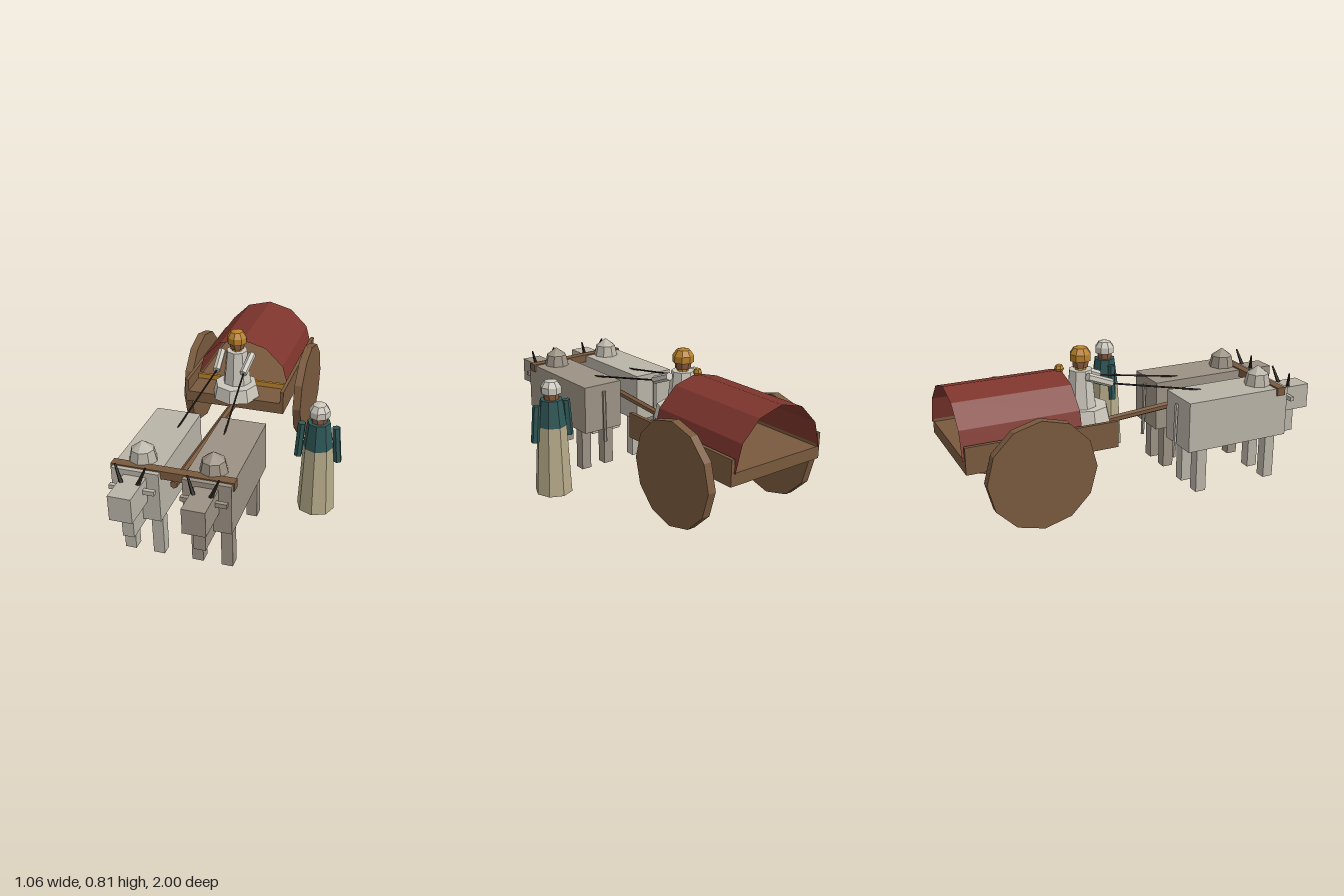
import * as THREE from 'three';

const mat = (color, side = THREE.FrontSide) =>
  new THREE.MeshStandardMaterial({ color, flatShading: true, side });

const wood = mat(0x7a5a3e), red = mat(0x7e352d, THREE.DoubleSide), gold = mat(0xb9812a);
const skin = mat(0x8a5c40), white = mat(0xcbc7bc), teal = mat(0x2f5757), linen = mat(0xb5a988);
const dark = mat(0x2b2320);

function add(parent, name, geometry, material, x = 0, y = 0, z = 0) {
  const m = new THREE.Mesh(geometry, material);
  m.name = name;
  m.position.set(x, y, z);
  parent.add(m);
  return m;
}

// Box given by its low and high corners
function box(parent, name, material, [x0, y0, z0], [x1, y1, z1]) {
  return add(parent, name, new THREE.BoxGeometry(x1 - x0, y1 - y0, z1 - z0), material,
    (x0 + x1) / 2, (y0 + y1) / 2, (z0 + z1) / 2);
}

// Rod running between two points
function rod(parent, name, material, from, to, r0, r1 = r0, sides = 6) {
  const a = new THREE.Vector3(...from), b = new THREE.Vector3(...to);
  const d = b.clone().sub(a);
  const m = add(parent, name, new THREE.CylinderGeometry(r1, r0, d.length(), sides), material);
  m.position.copy(a).add(b).multiplyScalar(0.5);
  m.quaternion.setFromUnitVectors(new THREE.Vector3(0, 1, 0), d.normalize());
  return m;
}

// Upright tapered eight-sided section
function taper(parent, name, material, y0, r0, y1, r1, z = 0) {
  return add(parent, name, new THREE.CylinderGeometry(r1, r0, y1 - y0, 8), material, 0, (y0 + y1) / 2, z);
}

// Face and rounded hair, sitting on height y
function head(parent, y, hairMaterial) {
  taper(parent, 'face', skin, y - 0.035, 0.041, y + 0.005, 0.046);
  const profile = [[0, 0], [0.057, 0], [0.057, 0.036], [0.036, 0.066], [0, 0.075]]
    .map(([r, h]) => new THREE.Vector2(r, h));
  add(parent, 'hair', new THREE.LatheGeometry(profile, 8), hairMaterial, 0, y, 0);
}

function makeOx(x, color) {
  const ox = new THREE.Group(), hide = mat(color);
  ox.name = 'ox';
  ox.position.x = x;
  box(ox, 'body', hide, [-0.123, 0.246, 0.2], [0.123, 0.52, 0.81]);
  box(ox, 'head', hide, [-0.059, 0.355, 0.81], [0.059, 0.492, 1]);
  box(ox, 'dewlap', hide, [-0.03, 0.217, 0.775], [0.03, 0.36, 0.93]);
  for (const s of [-1, 1]) {
    for (const z of [0.29, 0.725])
      box(ox, 'leg', hide, [s * 0.078 - 0.03, 0, z - 0.03], [s * 0.078 + 0.03, 0.25, z + 0.03]);
    box(ox, 'ear', hide, [s * 0.087 - 0.03, 0.43, 0.84], [s * 0.087 + 0.03, 0.454, 0.862]);
    rod(ox, 'horn', dark, [s * 0.042, 0.485, 0.873], [s * 0.078, 0.577, 0.85], 0.012, 0.005, 5);
  }
  const hump = add(ox, 'hump', new THREE.SphereGeometry(0.083, 8, 4), hide, 0, 0.477, 0.695);
  hump.scale.y = 1.8;
  rod(ox, 'tail', hide, [0, 0.18, 0.18], [0, 0.48, 0.19], 0.011, 0.011);
  return ox;
}

function makeCart() {
  const cart = new THREE.Group();
  cart.name = 'cart';
  cart.position.x = -0.174;
  box(cart, 'bed', wood, [-0.296, 0.354, -0.99], [0.296, 0.42, -0.205]);
  for (const s of [-1, 1]) {
    box(cart, 'sideboard', wood, [s * 0.286 - 0.01, 0.42, -0.99], [s * 0.286 + 0.01, 0.492, -0.205]);
    const wheel = new THREE.CylinderGeometry(0.281, 0.281, 0.046, 12);
    wheel.rotateZ(Math.PI / 2);
    add(cart, 'wheel', wheel, wood, s * 0.34, 0.308, -0.633);
  }
  // Open arched cover
  const cover = new THREE.CylinderGeometry(0.28, 0.28, 0.61, 6, 1, true, Math.PI / 2, Math.PI);
  cover.rotateX(Math.PI / 2);
  add(cart, 'cover', cover, red, 0, 0.42, -0.695);
  box(cart, 'trimBar', gold, [-0.277, 0.42, -0.397], [0.277, 0.45, -0.38]);
  add(cart, 'finial', new THREE.SphereGeometry(0.025, 6, 4), gold, 0, 0.708, -0.398);
  rod(cart, 'drawPole', wood, [0, 0.372, -0.25], [0, 0.445, 0.765], 0.02);
  box(cart, 'yoke', wood, [-0.316, 0.482, 0.738], [0.316, 0.527, 0.786]);
  return cart;
}

function makeDriver() {
  const driver = new THREE.Group();
  driver.name = 'driver';
  driver.position.set(-0.174, 0, -0.28);
  taper(driver, 'seatedSkirt', white, 0.415, 0.14, 0.492, 0.122, 0.02);
  taper(driver, 'torso', white, 0.49, 0.083, 0.69, 0.061);
  taper(driver, 'collar', gold, 0.685, 0.032, 0.71, 0.028);
  head(driver, 0.738, gold);
  for (const s of [-1, 1]) {
    rod(driver, 'arm', white, [s * 0.09, 0.672, 0], [s * 0.078, 0.615, 0.14], 0.022);
    rod(driver, 'rein', dark, [s * 0.078, 0.615, 0.13], [s * 0.128, 0.515, 0.655], 0.005, 0.005, 5);
  }
  return driver;
}

function makeWalker() {
  const walker = new THREE.Group();
  walker.name = 'walker';
  walker.position.set(0.4, 0, 0.123);
  taper(walker, 'skirt', linen, 0, 0.104, 0.388, 0.082);
  taper(walker, 'bodice', teal, 0.388, 0.082, 0.535, 0.062);
  head(walker, 0.57, white);
  for (const s of [-1, 1])
    rod(walker, 'arm', teal, [s * 0.109, 0.309, 0], [s * 0.092, 0.513, 0], 0.022);
  return walker;
}

export function createModel() {
  const model = new THREE.Group();
  model.name = 'oxCart';
  model.add(makeOx(-0.355, 0xbab4a8), makeOx(0.01, 0x9c9284));
  model.add(makeCart(), makeDriver(), makeWalker());
  return model;
}
